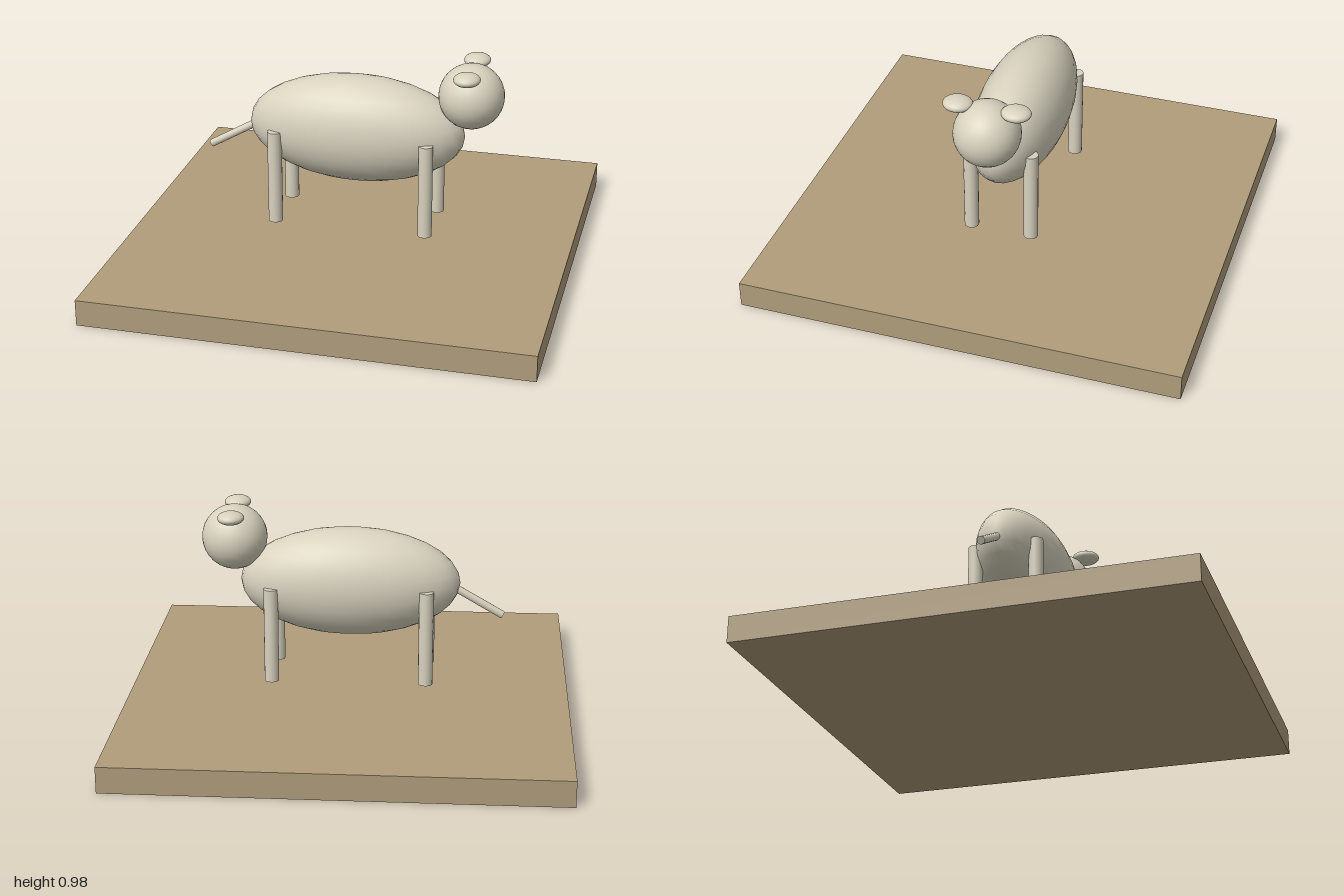
import * as THREE from 'three';

export function createModel() {
  const model = new THREE.Group();
  const hide = new THREE.MeshStandardMaterial({ color: 0xd8d2be });
  const earth = new THREE.MeshStandardMaterial({ color: 0xb09d7c });

  function add(name, geometry, material, x, y, z) {
    const mesh = new THREE.Mesh(geometry, material);
    mesh.name = name;
    mesh.position.set(x, y, z);
    model.add(mesh);
    return mesh;
  }

  // ellipsoid with the given half-sizes
  const ellipsoid = (rx, ry, rz) => new THREE.SphereGeometry(1, 32, 16).scale(rx, ry, rz);

  // square ground slab
  add('base', new THREE.BoxGeometry(2, 0.12, 2), earth, 0, 0.06, 0);

  // torso and head, facing +x
  add('body', ellipsoid(0.5, 0.25, 0.2), hide, 0, 0.623, 0);
  add('head', ellipsoid(0.148, 0.148, 0.148), hide, 0.525, 0.823, 0);

  // mirrored ears and legs, the feet hovering just above the slab
  for (const side of [1, -1]) {
    const label = side > 0 ? 'Front' : 'Back';
    add('ear' + label, ellipsoid(0.06, 0.029, 0.066), hide, 0.525, 0.948, side * 0.13);
    for (const end of [1, -1]) {
      add((end > 0 ? 'foreLeg' : 'hindLeg') + label,
        new THREE.CylinderGeometry(0.033, 0.033, 0.44, 16), hide, end * 0.35, 0.402, side * 0.14);
    }
  }

  // straight tail sloping 30 degrees down and back
  const tail = add('tail', new THREE.CylinderGeometry(0.018, 0.018, 0.3, 12), hide, -0.565, 0.548, 0);
  tail.rotation.z = -Math.PI / 3;

  return model;
}
